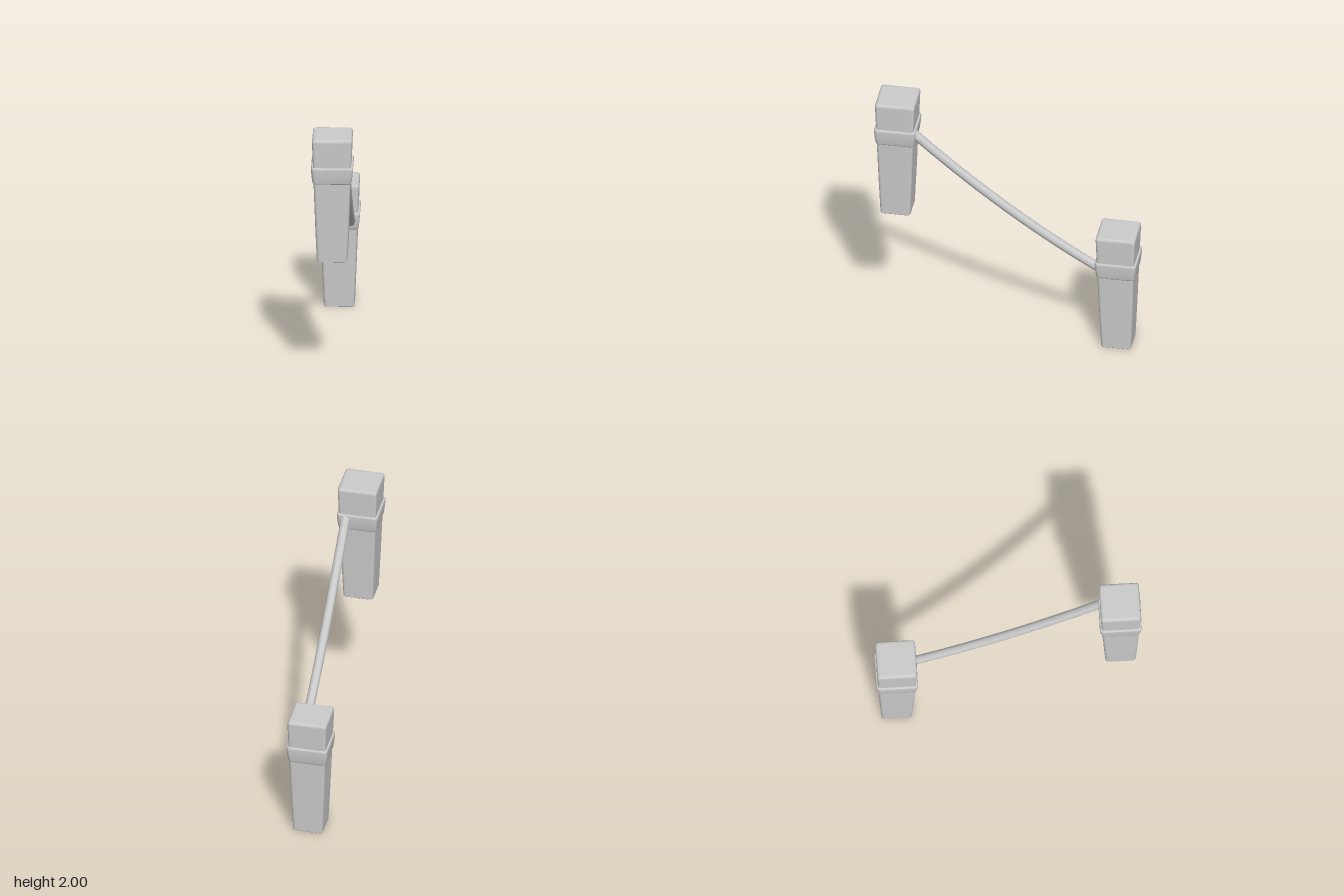
import * as THREE from 'three';

const material = new THREE.MeshStandardMaterial({ color: 0xcccccc });

// Corner-rounded square cross-section, counted towards +z from +x
function squareRing(half, radius, y) {
  const ring = [];
  const steps = 4;
  for (let corner = 0; corner < 4; corner++) {
    const mid = Math.PI / 4 + corner * Math.PI / 2;
    const cx = Math.sign(Math.cos(mid)) * (half - radius);
    const cz = Math.sign(Math.sin(mid)) * (half - radius);
    for (let i = 0; i <= steps; i++) {
      const a = corner * Math.PI / 2 + (i / steps) * Math.PI / 2;
      ring.push(cx + radius * Math.cos(a), y, cz + radius * Math.sin(a));
    }
  }
  return ring;
}

// Skin over stacked square rings, each [y, half width, corner radius], closed at both ends
function squareStack(rings) {
  const positions = [];
  const indices = [];
  const n = 20;
  rings.forEach(([y, half, radius]) => positions.push(...squareRing(half, radius, y)));
  for (let r = 0; r < rings.length - 1; r++) {
    for (let i = 0; i < n; i++) {
      const a = r * n + i, b = r * n + (i + 1) % n;
      indices.push(a, a + n, b, b, a + n, b + n);
    }
  }
  const bottom = positions.length / 3, top = bottom + 1;
  positions.push(0, rings[0][0], 0, 0, rings[rings.length - 1][0], 0);
  const last = (rings.length - 1) * n;
  for (let i = 0; i < n; i++) {
    const j = (i + 1) % n;
    indices.push(bottom, i, j, top, last + j, last + i);
  }
  const geometry = new THREE.BufferGeometry();
  geometry.setAttribute('position', new THREE.Float32BufferAttribute(positions, 3));
  geometry.setIndex(indices);
  geometry.computeVertexNormals();
  return geometry;
}

function part(geometry, name) {
  const mesh = new THREE.Mesh(geometry, material);
  mesh.name = name;
  return mesh;
}

// Tapered post with a collar wrapped round it
function makePost(name, y, z) {
  const post = new THREE.Group();
  post.name = name;
  post.add(part(squareStack([
    [0, 0.113, 0.025], [0.004, 0.115, 0.025], [0.3, 0.127, 0.023], [0.65, 0.139, 0.021],
    [0.965, 0.15, 0.02], [0.982, 0.148, 0.02], [0.99, 0.138, 0.018], [0.99, 0.12, 0.015],
  ]), 'postShaft'));
  post.add(part(squareStack([
    [0.635, 0.13, 0.02], [0.635, 0.141, 0.024], [0.645, 0.147, 0.027], [0.7, 0.154, 0.028],
    [0.752, 0.158, 0.028], [0.764, 0.156, 0.028], [0.768, 0.15, 0.025], [0.768, 0.135, 0.02],
  ]), 'collar'));
  post.position.set(0, y, z);
  return post;
}

export function createModel() {
  const model = new THREE.Group();
  model.name = 'ropeRailing';
  model.add(makePost('upperPost', 1.01, 0.842));
  model.add(makePost('lowerPost', 0, -0.842));

  // Rope sagging from one collar down to the other
  const path = new THREE.QuadraticBezierCurve3(
    new THREE.Vector3(0.088, 1.745, 0.71),
    new THREE.Vector3(0.088, 1.105, 0.0),
    new THREE.Vector3(0.088, 0.695, -0.71),
  );
  model.add(part(new THREE.TubeGeometry(path, 16, 0.036, 8, false), 'rope'));
  return model;
}
